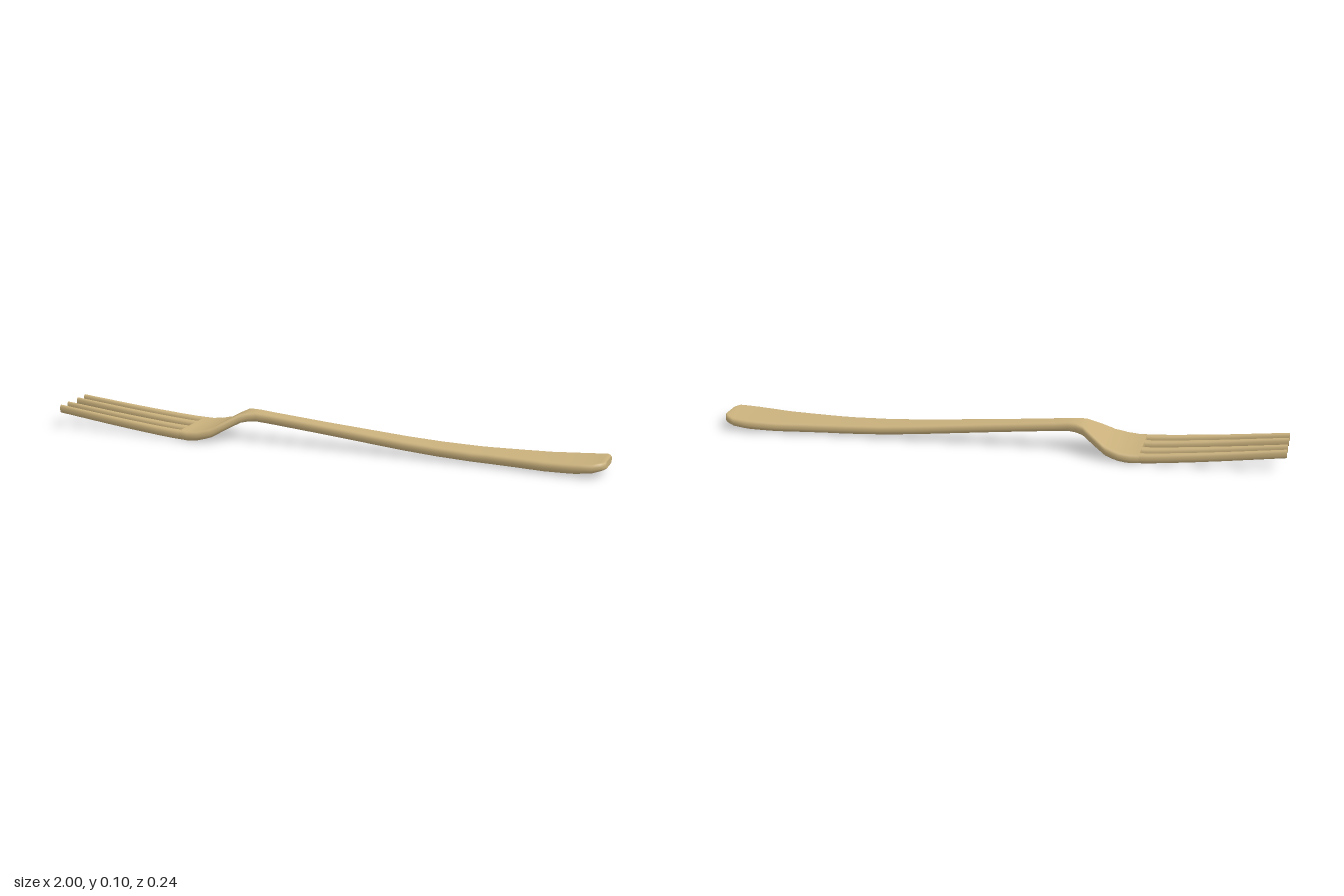
import * as THREE from 'three';

// Underside height along the length: [x, y]
const UNDERSIDE = [
  [-1, 0.055], [-0.9, 0.043], [-0.8, 0.031], [-0.7, 0.02], [-0.6, 0.01], [-0.54, 0.005], [-0.48, 0.002],
  [-0.44, 0.006], [-0.395, 0.018], [-0.35, 0.043], [-0.305, 0.067], [-0.28, 0.071], [-0.25, 0.072],
  [0, 0.049], [0.3, 0.022], [0.42, 0.014], [0.55, 0.009], [0.8, 0.007], [0.9, 0.011], [0.96, 0.018], [1, 0.028],
];
// Half width of the head, neck and handle: [x, halfWidth]
const WIDTH = [
  [-0.51, 0.117], [-0.46, 0.12], [-0.42, 0.116], [-0.385, 0.105], [-0.35, 0.085], [-0.305, 0.054],
  [-0.28, 0.042], [-0.25, 0.034], [-0.2, 0.032], [0, 0.034], [0.3, 0.045], [0.6, 0.058], [0.7, 0.067],
  [0.8, 0.078], [0.87, 0.085], [0.92, 0.087], [0.96, 0.084], [0.985, 0.072], [0.995, 0.06], [1, 0.048],
];
// Thickness: [x, thickness]
const THICK = [[-1, 0.029], [-0.5, 0.033], [0.9, 0.033], [0.985, 0.029], [1, 0.024]];

function sample(table, x) {
  let i = 0;
  while (i < table.length - 2 && x > table[i + 1][0]) i++;
  const [x0, a] = table[i], [x1, b] = table[i + 1];
  return a + (b - a) * THREE.MathUtils.clamp((x - x0) / (x1 - x0), 0, 1);
}

// Rounded rectangle in the z-y plane, spanning z0..z1 at station x
function section(x, z0, z1) {
  const h = sample(THICK, x), y = sample(UNDERSIDE, x) + h / 2, hw = (z1 - z0) / 2;
  const rz = Math.min(0.013, hw * 0.8), ry = h * 0.42, pts = [];
  for (let c = 0; c < 4; c++) {
    const sz = c === 0 || c === 3 ? 1 : -1, sy = c < 2 ? 1 : -1;
    for (let k = 0; k <= 4; k++) {
      const a = (c + k / 4) * Math.PI / 2;
      pts.push([x, y + sy * (h / 2 - ry) + Math.sin(a) * ry, (z0 + z1) / 2 + sz * (hw - rz) + Math.cos(a) * rz]);
    }
  }
  return pts;
}

// Skin a run of sections and close both ends with flat caps
function loft(rings) {
  const n = rings[0].length, pos = rings.flat(2), index = [];
  for (let i = 0; i < rings.length - 1; i++) {
    for (let j = 0; j < n; j++) {
      const a = i * n + j, b = i * n + (j + 1) % n;
      index.push(a, a + n, b, b, a + n, b + n);
    }
  }
  [rings[0], rings[rings.length - 1]].forEach((ring, end) => {
    const s = pos.length / 3;
    pos.push(...ring.flat());
    for (let j = 1; j < n - 1; j++) index.push(s, s + (end ? j + 1 : j), s + (end ? j : j + 1));
  });
  const g = new THREE.BufferGeometry();
  g.setAttribute('position', new THREE.Float32BufferAttribute(pos, 3));
  g.setIndex(index);
  g.computeVertexNormals();
  return g;
}

// All stations of the tables between two ends
function stations(from, to) {
  const xs = [from, to, ...[...UNDERSIDE, ...WIDTH].map((p) => p[0]).filter((x) => x > from && x < to)];
  return [...new Set(xs)].sort((a, b) => a - b);
}

export function createModel() {
  const group = new THREE.Group();
  group.name = 'fork';
  const metal = new THREE.MeshStandardMaterial({ color: 0xc9b07c });
  metal.name = 'pale brass';

  const add = (name, rings) => {
    const mesh = new THREE.Mesh(loft(rings), metal);
    mesh.name = name;
    group.add(mesh);
  };

  // Head, neck and handle in one sweep
  add('headAndHandle', stations(-0.51, 1).map((x) => {
    const w = sample(WIDTH, x);
    return section(x, -w, w);
  }));

  // Four tapering tines: inner and outer edge at the tip, then at the root
  const tines = { outerTine: [0.081, 0.097, 0.086, 0.117], innerTine: [0.028, 0.043, 0.021, 0.054] };
  for (const [name, [tipIn, tipOut, rootIn, rootOut]] of Object.entries(tines)) {
    for (const side of [1, -1]) {
      add(name + (side > 0 ? 'Front' : 'Back'), stations(-1, -0.505).map((x) => {
        const t = (x + 1) / 0.495;
        const a = side * THREE.MathUtils.lerp(tipIn, rootIn, t);
        const b = side * THREE.MathUtils.lerp(tipOut, rootOut, t);
        return section(x, Math.min(a, b), Math.max(a, b));
      }));
    }
  }
  return group;
}
